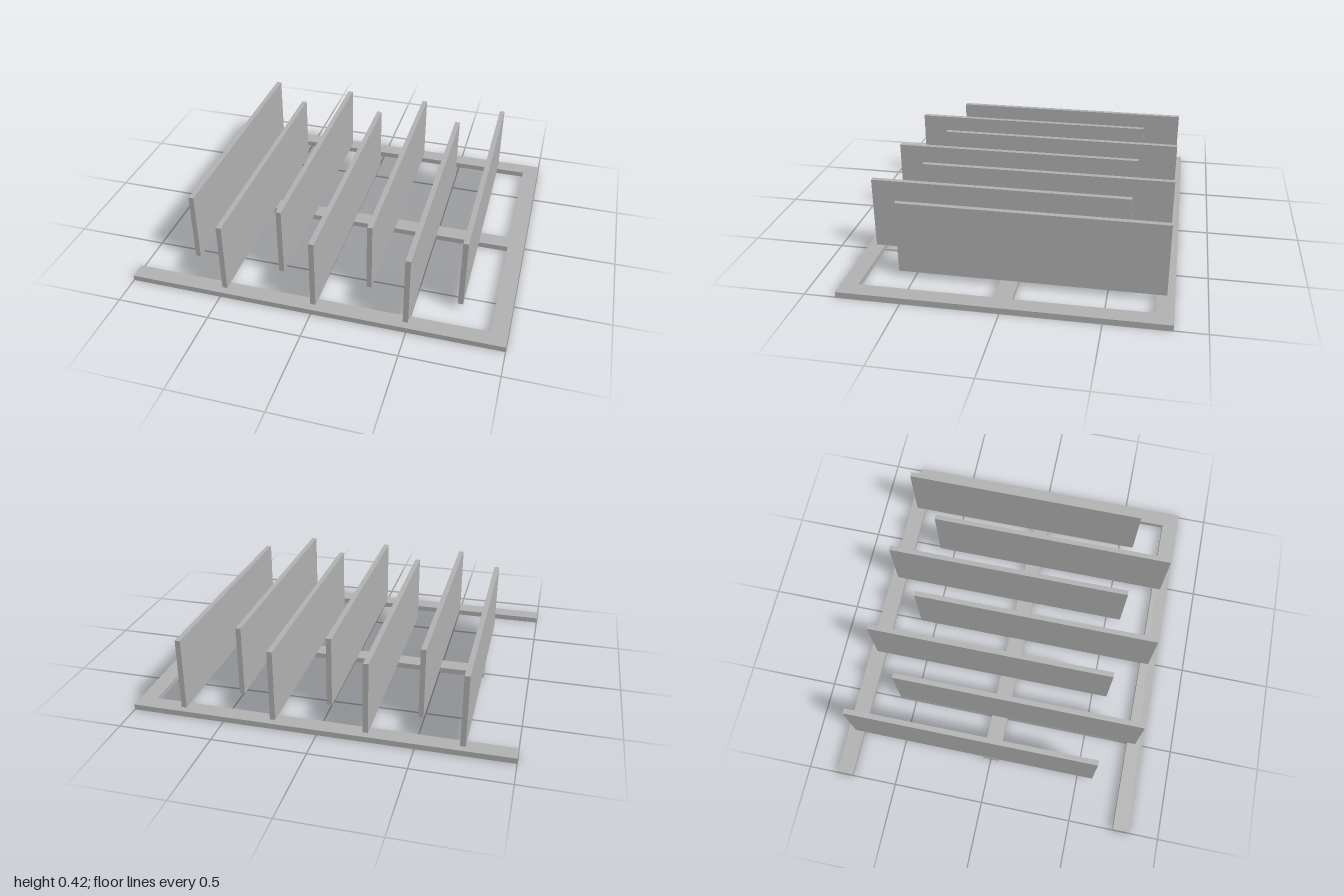
import * as THREE from 'three';

export function createModel() {
  const model = new THREE.Group();
  const grey = new THREE.MeshStandardMaterial({ color: 0xb2b2b2 });
  grey.name = 'plain grey';

  const baseHeight = 0.03, top = 0.422;
  const right = 1, inner = 0.91, edge = 0.835, rail = 0.745, half = 0.046;

  // E-shaped base frame: two long rails, a shorter middle rail and one cross rail
  const plan = new THREE.Shape([
    [-1, -edge], [right, -edge], [right, edge], [-1, edge],
    [-1, rail], [inner, rail], [inner, half], [-0.75, half],
    [-0.75, -half], [inner, -half], [inner, -rail], [-1, -rail],
  ].map(([x, y]) => new THREE.Vector2(x, y)));
  const frameGeometry = new THREE.ExtrudeGeometry(plan, { depth: baseHeight, bevelEnabled: false });
  frameGeometry.rotateX(-Math.PI / 2);
  const frame = new THREE.Mesh(frameGeometry, grey);
  frame.name = 'baseFrame';
  model.add(frame);

  // Seven upright panels, staggered alternately to the back and the front
  const panels = new THREE.Group();
  panels.name = 'uprightPanels';
  const panelGeometry = new THREE.BoxGeometry(0.028, top - baseHeight, 1.38);
  for (let i = 0; i < 7; i++) {
    const panel = new THREE.Mesh(panelGeometry, grey);
    panel.name = i % 2 ? 'frontPanel' : 'backPanel';
    panel.position.set((i - 3) * 0.2445, (top + baseHeight) / 2, i % 2 ? 0.102 : -0.106);
    panels.add(panel);
  }
  model.add(panels);

  return model;
}
